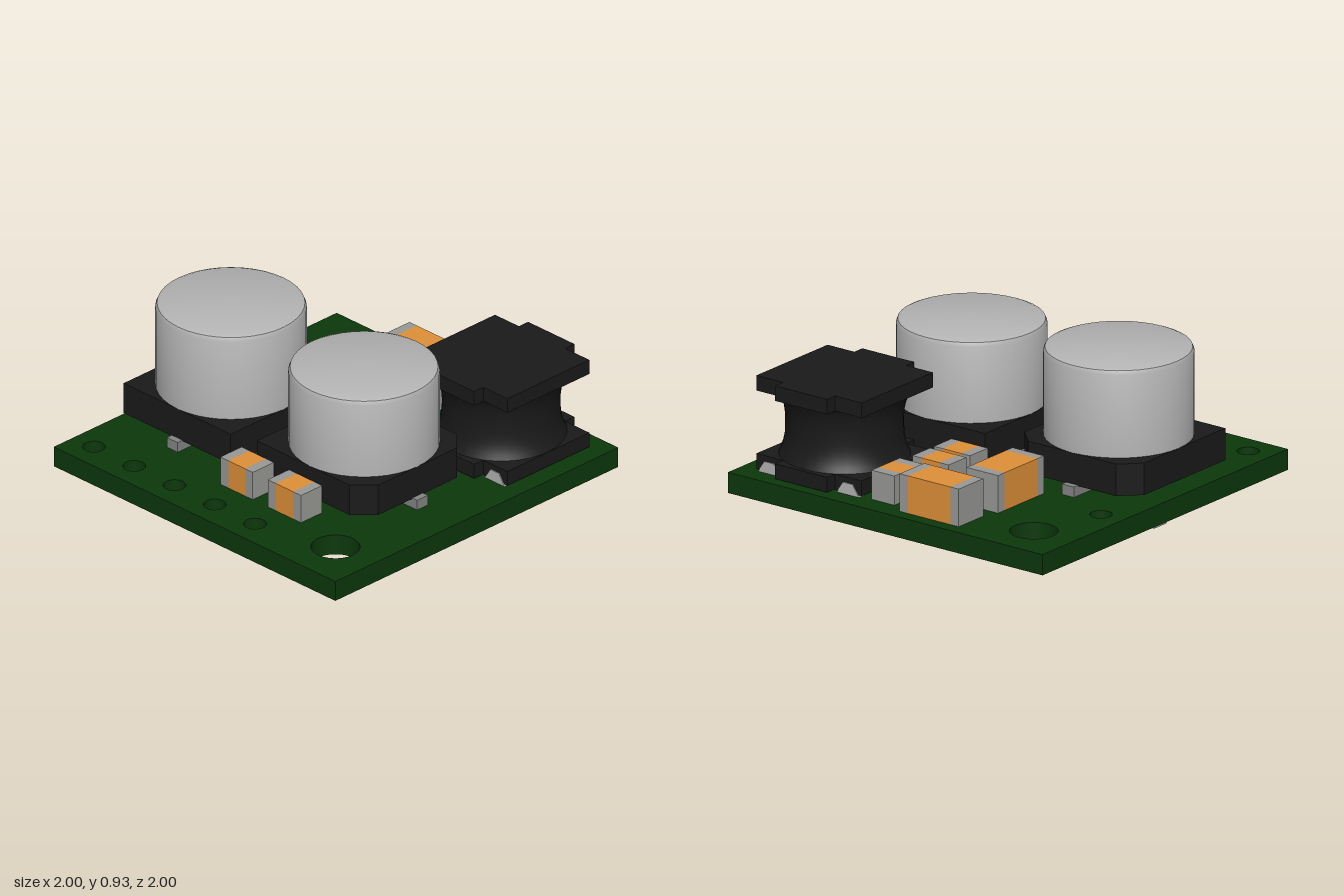
import * as THREE from 'three';
import { toCreasedNormals } from 'three/addons/utils/BufferGeometryUtils.js';

const mat = (color) => new THREE.MeshStandardMaterial({ color });
const GREEN = mat(0x0c380c), BLACK = mat(0x1a1a1a), ORANGE = mat(0xdf9038);
const METAL = mat(0x999a96), CAN = mat(0xb4b4b4), BEIGE = mat(0x9c9078), LEAD = mat(0x858585);
const TOP = 0.24, UNDER = 0.13;

function add(parent, name, geometry, material) {
  const mesh = new THREE.Mesh(geometry, material);
  mesh.name = name;
  parent.add(mesh);
  return mesh;
}

// box given by its limits on each axis
function box(parent, name, material, x0, x1, y0, y1, z0, z1) {
  const g = new THREE.BoxGeometry(x1 - x0, y1 - y0, z1 - z0);
  g.translate((x0 + x1) / 2, (y0 + y1) / 2, (z0 + z1) / 2);
  return add(parent, name, g, material);
}

// flat plate with an outline in x and z
function plate(points, y0, y1, holes = []) {
  const shape = new THREE.Shape(points.map(([x, z]) => new THREE.Vector2(x, z)));
  for (const [x, z, r] of holes) {
    const path = new THREE.Path();
    path.absarc(x, z, r, 0, Math.PI * 2, true);
    shape.holes.push(path);
  }
  const g = new THREE.ExtrudeGeometry(shape, { depth: y1 - y0, bevelEnabled: false, curveSegments: 24 });
  return g.rotateX(Math.PI / 2).translate(0, y1, 0);
}

// small two-terminal part; its terminals sit at the ends of the longer side
function chip(parent, name, core, x, z, lx, lz, y0, y1, t) {
  const g = new THREE.Group();
  g.name = name;
  g.position.set(x, 0, z);
  const alongZ = lz > lx, len = Math.max(lx, lz) / 2, w = Math.min(lx, lz) / 2;
  box(g, 'chipCore', core, -len + t, len - t, y0, y1, -w, w);
  for (const s of [-1, 1]) {
    const a = s * len, b = s * (len - t);
    box(g, 'chipTerminal', METAL, Math.min(a, b), Math.max(a, b), y0, y1, -w, w);
  }
  if (alongZ) g.rotation.y = Math.PI / 2;
  parent.add(g);
}

// round can on a black base with two chamfered corners on its +x side
function canCapacitor(parent, x, z, height, turn) {
  const g = new THREE.Group();
  g.name = 'canCapacitor';
  const h = 0.38, c = 0.1;
  add(g, 'capacitorBase', plate([[-h, -h], [h - c, -h], [h, c - h], [h, h - c], [h - c, h], [-h, h]], 0.29, 0.46), BLACK);
  const profile = [[0.38, 0.45], [0.38, height - 0.03], [0.371, height - 0.009], [0.35, height], [0, height]];
  const can = new THREE.LatheGeometry(profile.map(([r, y]) => new THREE.Vector2(r, y)), 40);
  add(g, 'capacitorCan', toCreasedNormals(can, 0.6), CAN);
  for (const s of [-1, 1]) {
    const a = s * 0.15, b = s * 0.415;
    box(g, 'capacitorLead', LEAD, Math.min(a, b), Math.max(a, b), TOP, 0.295, -0.038, 0.038);
  }
  g.position.set(x, 0, z);
  g.rotation.y = turn;
  parent.add(g);
}

// spool-shaped coil with stepped flanges
function inductor(parent, x, z) {
  const g = new THREE.Group();
  g.name = 'inductor';
  const a = 0.335, b = 0.29, t = 0.165, e = 0.355;
  const outline = [[-a, -b], [-t, -b], [-t, -e], [t, -e], [t, -b], [a, -b],
    [a, b], [t, b], [t, e], [-t, e], [-t, b], [-a, b]];
  add(g, 'lowerFlange', plate(outline, 0.25, 0.33), BLACK);
  add(g, 'upperFlange', plate(outline, 0.665, 0.745), BLACK);
  const pts = [];
  for (let i = 0; i <= 12; i++) {
    const u = i / 6 - 1;
    pts.push(new THREE.Vector2(0.298 + 0.035 * Math.pow(Math.abs(u), 2.5), 0.4975 + u * 0.17));
  }
  add(g, 'coilWaist', new THREE.LatheGeometry(pts, 36), BLACK);
  // solder pads with sloping sides at the four corners
  for (const sx of [-1, 1]) for (const sz of [-1, 1]) {
    const s = new THREE.Shape([[-0.07, 0], [0.07, 0], [0.03, 0.06], [-0.03, 0.06]].map(([p, q]) => new THREE.Vector2(p, q)));
    const pad = new THREE.ExtrudeGeometry(s, { depth: 0.06, bevelEnabled: false });
    pad.translate(0, 0, -0.03);
    add(g, 'inductorPad', pad, CAN).position.set(sx * 0.25, TOP, sz * 0.265);
  }
  g.position.set(x, 0, z);
  parent.add(g);
}

// chip package below the board with a row of leads on two sides
function package_(parent, name, x, z, lx, lz, y0, count) {
  const g = new THREE.Group();
  g.name = name;
  box(g, 'packageBody', BLACK, -lx / 2, lx / 2, y0, 0.12, -lz / 2, lz / 2);
  for (const s of [-1, 1]) for (let i = 0; i < count; i++) {
    const px = (i - (count - 1) / 2) * lx / count, pz = s * (lz / 2 + 0.012);
    box(g, 'packageLead', METAL, px - 0.018, px + 0.018, 0.085, UNDER, pz - 0.018, pz + 0.018);
  }
  g.position.set(x, 0, z);
  parent.add(g);
}

export function createModel() {
  const model = new THREE.Group();
  model.name = 'powerBoard';

  // board with mounting and pin holes
  const holes = [[-0.745, -0.745, 0.123], [0.74, 0.74, 0.123], [-0.86, -0.345, 0.057]];
  for (let i = 0; i < 5; i++) holes.push([-0.86 + i * 0.286, 0.855, 0.057]);
  add(model, 'board', plate([[-1, -1], [1, -1], [1, 1], [-1, 1]], UNDER, TOP, holes), GREEN);

  // large parts on top
  canCapacitor(model, -0.56, 0.185, 0.93, Math.PI / 2);
  canCapacitor(model, 0.34, 0.14, 0.895, 0);
  inductor(model, 0.57, -0.6);

  // ceramic capacitors on top: x, z, size x, size z, top height, terminal length
  for (const [x, z, lx, lz, y, t] of [
    [-0.225, -0.83, 0.375, 0.2, 0.44, 0.053],
    [-0.343, -0.462, 0.2, 0.375, 0.44, 0.053],
    [0.112, -0.76, 0.145, 0.23, 0.395, 0.056],
    [0.042, -0.505, 0.23, 0.145, 0.395, 0.056],
    [0.042, -0.33, 0.23, 0.145, 0.395, 0.056],
    [-0.018, 0.61, 0.23, 0.15, 0.395, 0.056],
    [0.322, 0.61, 0.235, 0.15, 0.395, 0.056],
  ]) chip(model, 'ceramicCapacitor', ORANGE, x, z, lx, lz, TOP, y, t);

  // ceramic capacitors below
  for (const [x, z, lx, lz] of [
    [-0.745, 0.165, 0.19, 0.1], [0.3, -0.685, 0.19, 0.1], [0.0, -0.46, 0.1, 0.19],
    [0.69, 0.165, 0.1, 0.19], [0.3, 0.345, 0.19, 0.1], [0.3, 0.165, 0.19, 0.1],
  ]) chip(model, 'lowerCapacitor', ORANGE, x, z, lx, lz, 0.03, UNDER, 0.035);

  // resistors below
  for (const [x, z, lx, lz] of [
    [0.53, 0.165, 0.1, 0.19], [0.53, -0.175, 0.1, 0.19], [0.69, -0.175, 0.1, 0.19],
    [-0.03, 0.2, 0.1, 0.19], [-0.03, -0.03, 0.14, 0.09], [-0.575, 0.4, 0.1, 0.19],
  ]) chip(model, 'resistor', BEIGE, x, z, lx, lz, 0.06, UNDER, 0.035);

  // integrated circuits and small transistors below
  package_(model, 'controllerChip', 0.25, -0.33, 0.38, 0.38, 0.03, 4);
  package_(model, 'driverChip', -0.29, 0.475, 0.38, 0.37, 0.03, 4);
  package_(model, 'transistor', 0.27, 0, 0.2, 0.15, 0.0, 2);
  package_(model, 'transistor', -0.29, 0.175, 0.2, 0.15, 0.0, 2);

  return model;
}
